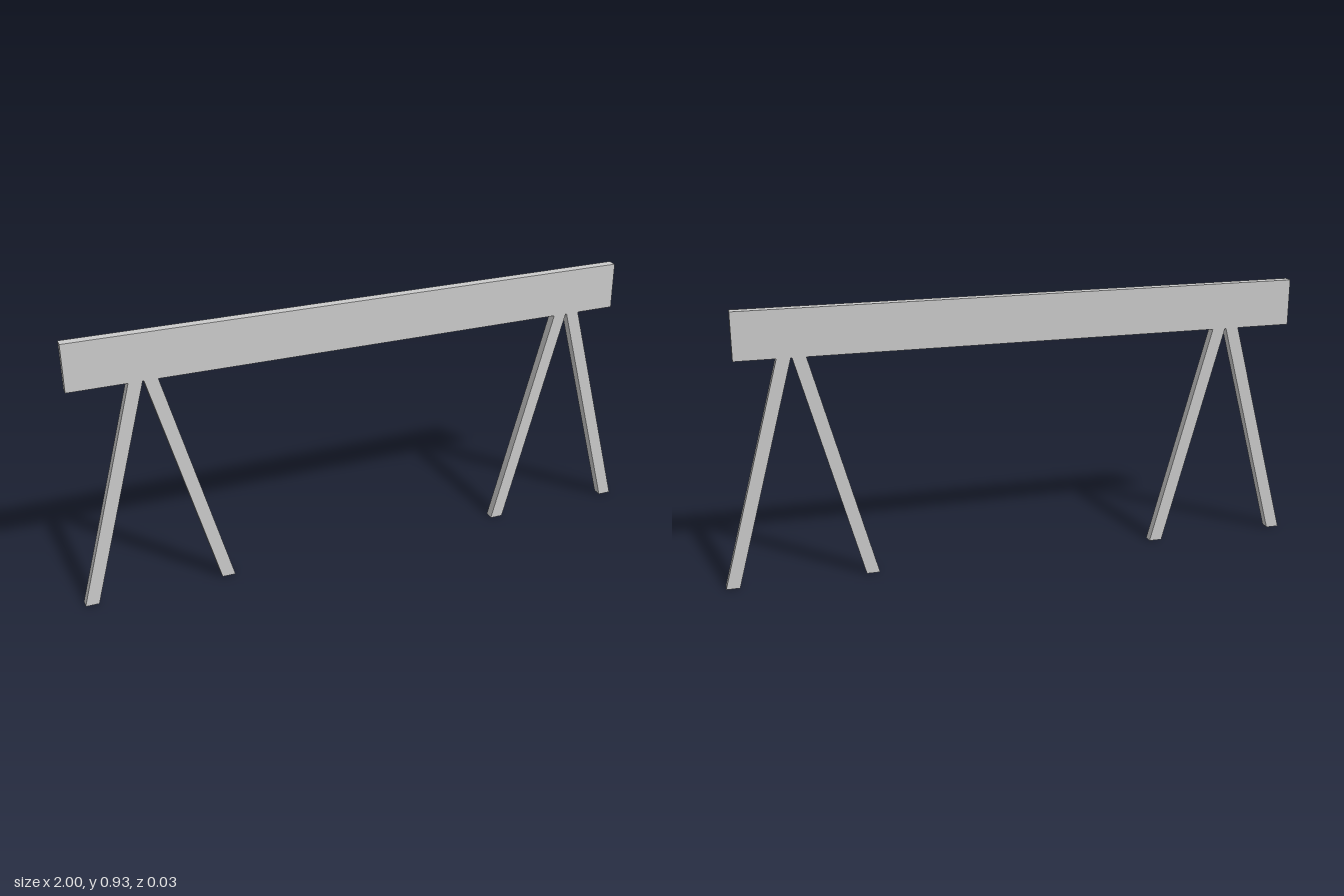
import * as THREE from 'three';

const DEPTH = 0.032;
const BEAM_BOTTOM = 0.767;
const BEAM_TOP = 0.925;
const LEG_WIDTH = 0.045;

export function createModel() {
  const model = new THREE.Group();
  model.name = 'trestle';
  const material = new THREE.MeshStandardMaterial({ color: 0xcccccc, flatShading: true });

  // Flat board cut from an outline in the xy plane, centred on z = 0
  function board(name, points, parent) {
    const shape = new THREE.Shape(points.map(([x, y]) => new THREE.Vector2(x, y)));
    const geometry = new THREE.ExtrudeGeometry(shape, { depth: DEPTH, bevelEnabled: false });
    geometry.translate(0, 0, -DEPTH / 2);
    const mesh = new THREE.Mesh(geometry, material);
    mesh.name = name;
    parent.add(mesh);
  }

  // Top beam, overhanging further on the right
  board('beam', [[-0.982, BEAM_BOTTOM], [0.926, BEAM_BOTTOM], [0.926, BEAM_TOP], [-0.982, BEAM_TOP]], model);

  // Two A-shaped pairs of slanted legs with level-cut ends
  for (const side of [-1, 1]) {
    const pair = new THREE.Group();
    pair.name = side < 0 ? 'rightLegPair' : 'leftLegPair';
    pair.position.x = side * 0.745;
    for (const lean of [-1, 1]) {
      const foot = lean * 0.2325;
      const top = lean * 0.0245;
      const h = LEG_WIDTH / 2;
      board(lean < 0 ? 'rightLeg' : 'leftLeg', [
        [foot - h, 0], [foot + h, 0], [top + h, BEAM_BOTTOM], [top - h, BEAM_BOTTOM],
      ], pair);
    }
    model.add(pair);
  }
  return model;
}
